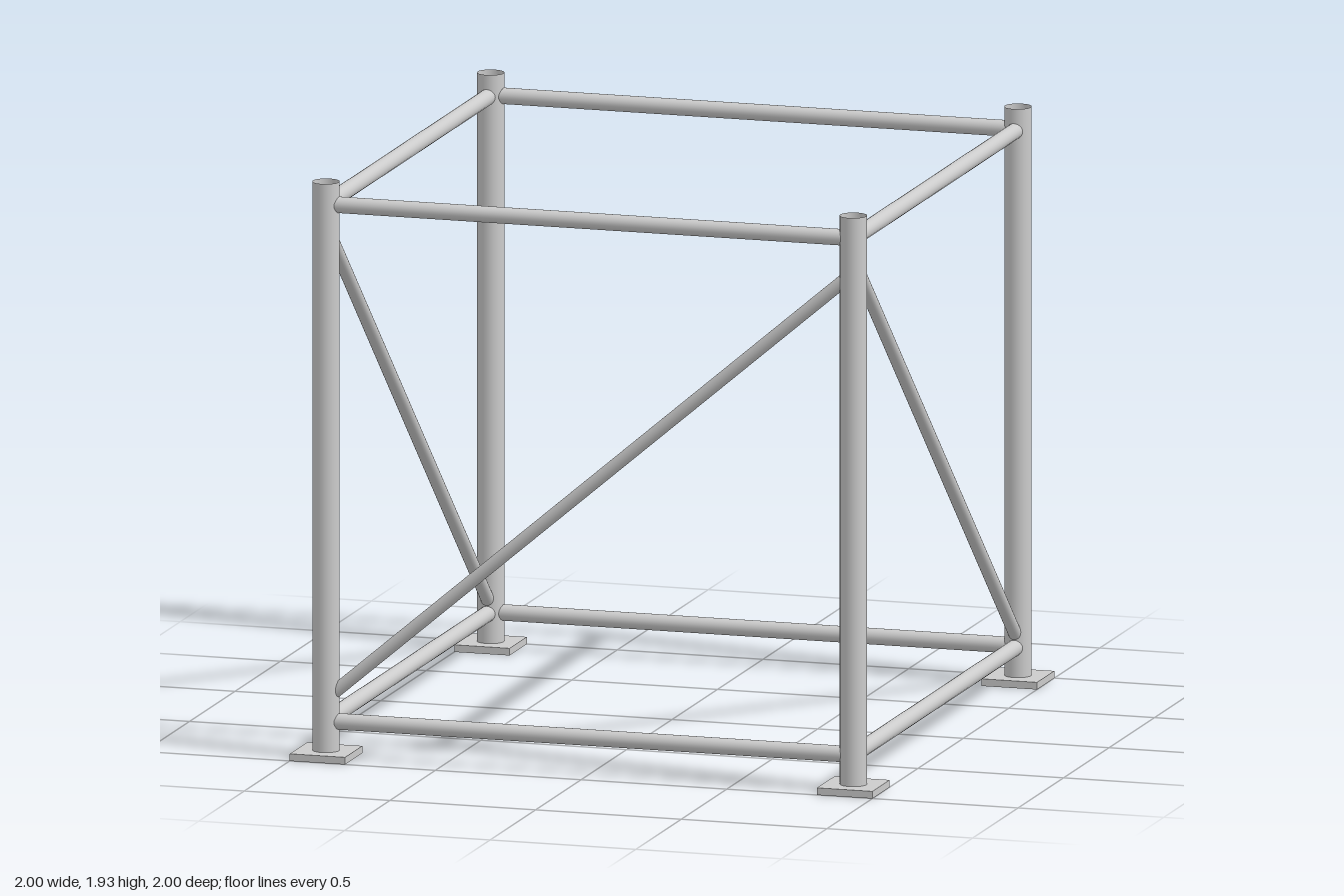
import * as THREE from 'three';

const material = new THREE.MeshStandardMaterial({ color: 0xcccccc });
const tubeMaterial = new THREE.MeshStandardMaterial({ color: 0xcccccc, side: THREE.DoubleSide });

const C = 0.905; // post centre offset
const PLATE = 0.19, PLATE_H = 0.024, TOP = 1.928;

// Open round tube between two points
function tube(name, a, b, radius) {
  const start = new THREE.Vector3(...a);
  const dir = new THREE.Vector3(...b).sub(start);
  const geometry = new THREE.CylinderGeometry(radius, radius, dir.length(), 24, 1, true);
  const mesh = new THREE.Mesh(geometry, tubeMaterial);
  mesh.name = name;
  mesh.position.copy(start).addScaledVector(dir, 0.5);
  mesh.quaternion.setFromUnitVectors(new THREE.Vector3(0, 1, 0), dir.normalize());
  return mesh;
}

export function createModel() {
  const model = new THREE.Group();
  model.name = 'tubularFrame';

  // Corner posts on square base plates
  for (const x of [-C, C]) {
    for (const z of [-C, C]) {
      const plate = new THREE.Mesh(new THREE.BoxGeometry(PLATE, PLATE_H, PLATE), material);
      plate.name = 'basePlate';
      plate.position.set(x, PLATE_H / 2, z);
      model.add(plate, tube('post', [x, PLATE_H, z], [x, TOP, z], 0.045));
    }
  }

  // Upper and lower rails on all four sides
  for (const [name, y] of [['lowerRail', 0.122], ['upperRail', 1.852]]) {
    for (const s of [-C, C]) {
      model.add(tube(name, [-C, y, s], [C, y, s], 0.027));
      model.add(tube(name, [s, y, -C], [s, y, C], 0.027));
    }
  }

  // Diagonal braces on the front and both sides; the back stays open
  model.add(tube('frontBrace', [-C, 0.195, C], [C, 1.735, C], 0.022));
  for (const x of [-C, C]) {
    model.add(tube('sideBrace', [x, 0.14, -C], [x, 1.78, C], 0.022));
  }
  return model;
}
